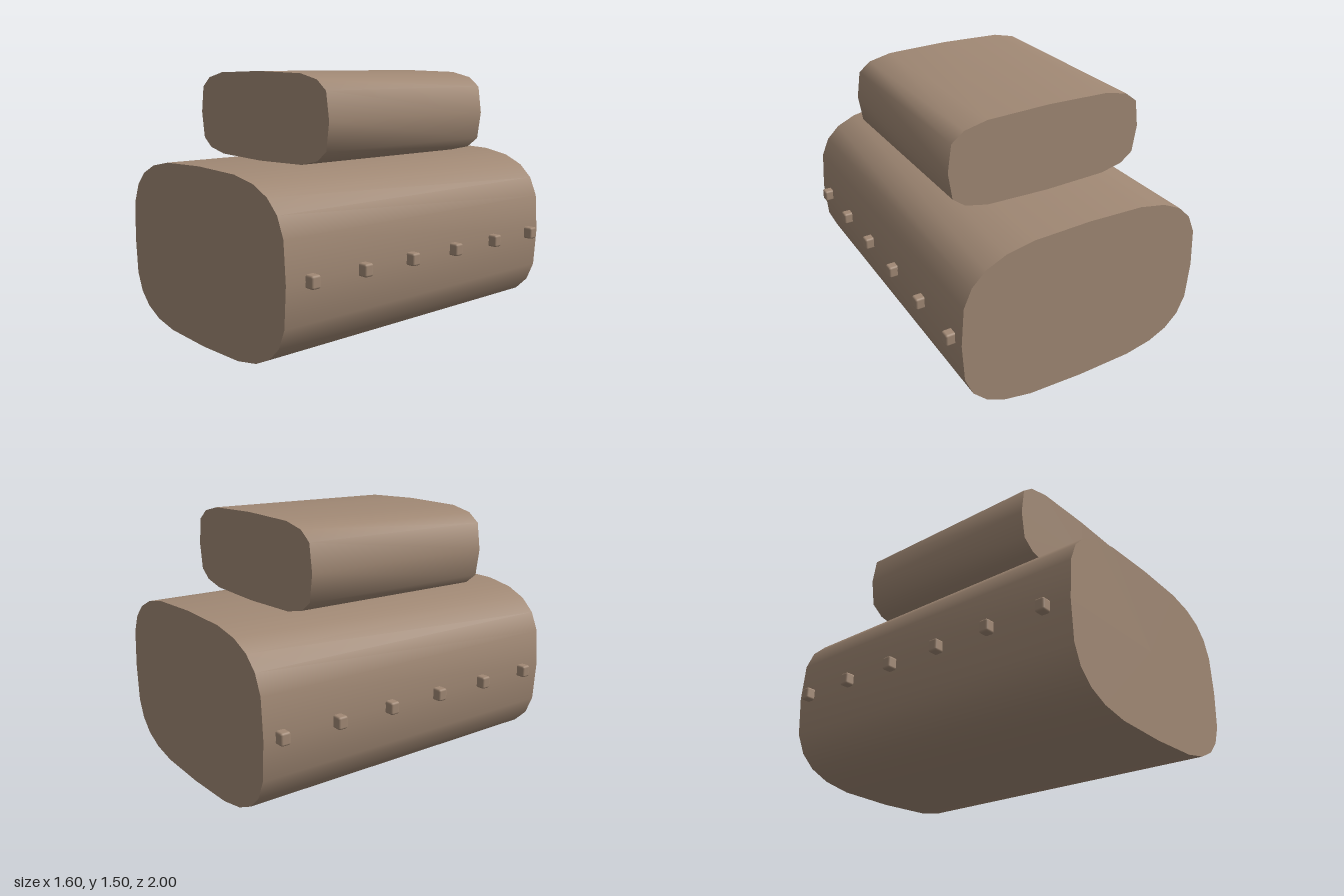
import * as THREE from 'three';
import { toCreasedNormals } from 'three/addons/utils/BufferGeometryUtils.js';
import { RoundedBoxGeometry } from 'three/addons/geometries/RoundedBoxGeometry.js';

// Prism along z with a superellipse cross-section
function superPrism(halfWidth, halfHeight, length, sides, power) {
  const geo = new THREE.CylinderGeometry(1, 1, length, sides).rotateX(Math.PI / 2);
  const pos = geo.attributes.position;
  const bend = (v) => Math.sign(v) * Math.pow(Math.abs(v), power);
  for (let i = 0; i < pos.count; i++) {
    pos.setXY(i, halfWidth * bend(pos.getX(i)), halfHeight * bend(pos.getY(i)));
  }
  return toCreasedNormals(geo, Math.PI / 3);
}

export function createModel() {
  const group = new THREE.Group();
  const brown = new THREE.MeshStandardMaterial({ color: 0xa08874 });
  brown.name = 'brown';

  const add = (name, geometry, x, y, z) => {
    const mesh = new THREE.Mesh(geometry, brown);
    mesh.name = name;
    mesh.position.set(x, y, z);
    group.add(mesh);
  };

  // Large lower body and smaller block resting on it
  add('body', superPrism(0.75, 0.5, 2, 24, 0.6), 0, 0.5, 0);
  add('topBlock', superPrism(0.6, 0.25, 1.2, 16, 0.5), 0, 1.25, 0);

  // Row of six studs along each side
  const stud = new RoundedBoxGeometry(0.1, 0.07, 0.058, 2, 0.012);
  for (const side of [1, -1]) {
    for (let i = 0; i < 6; i++) {
      add(side > 0 ? 'leftStud' : 'rightStud', stud, side * 0.75, 0.5, -0.9 + i * 0.35);
    }
  }
  return group;
}
